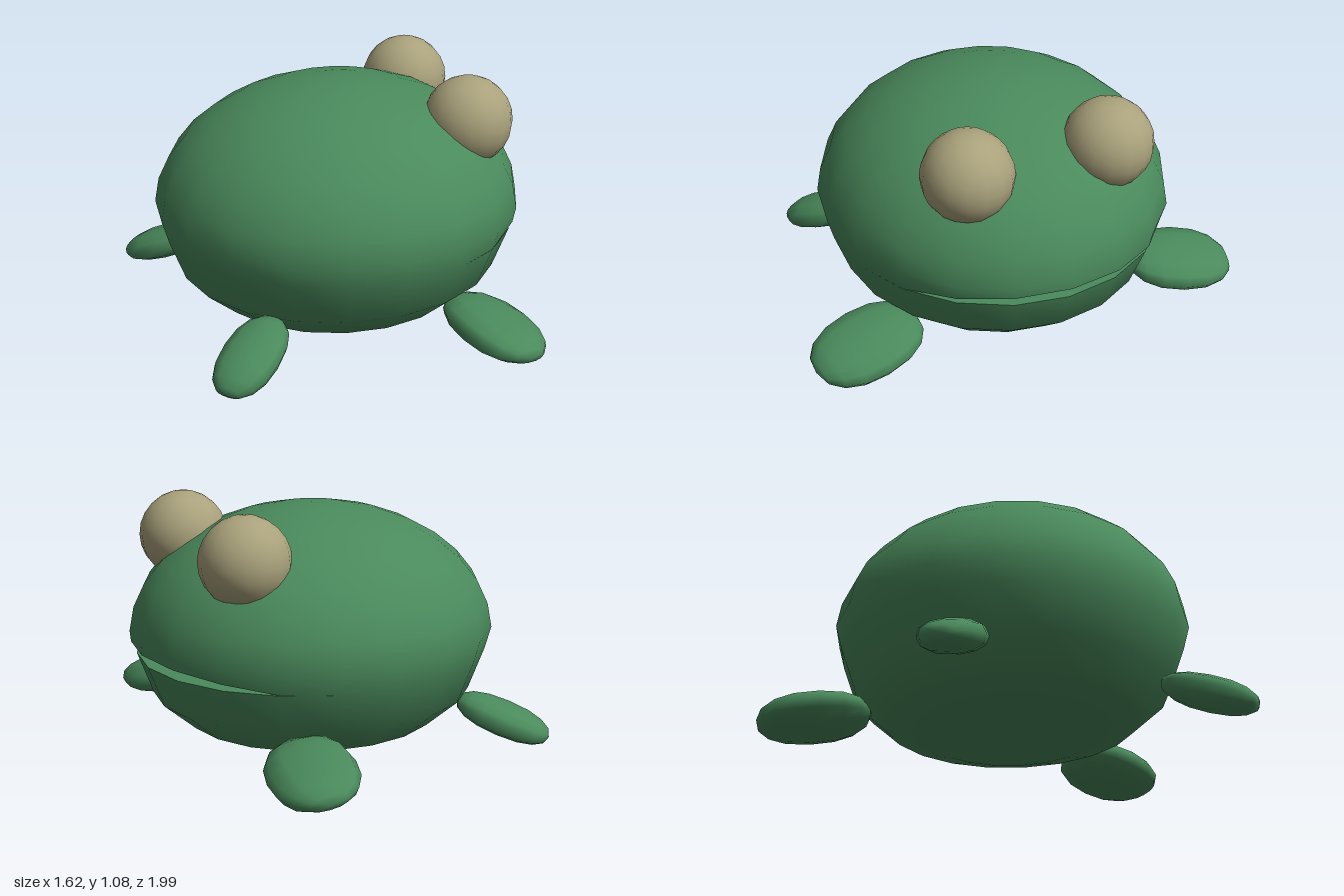
import * as THREE from 'three';
import { toCreasedNormals } from 'three/addons/utils/BufferGeometryUtils.js';

const SIDES = 20, RX = 0.81, RZ = 0.77, HINGE_X = 0.45, LIP_Y = 0.4;

// One elliptical cross-section of the body
function ring(r, y) {
  return Array.from({ length: SIDES }, (_, i) => {
    const a = (i / SIDES) * Math.PI * 2;
    return new THREE.Vector3(RX * r * Math.cos(a), y, RZ * r * Math.sin(a));
  });
}

// Skin a list of rings from bottom to top, leaving out collapsed triangles
function skin(rings) {
  const pos = [], ab = new THREE.Vector3(), ac = new THREE.Vector3();
  const tri = (a, b, c) => {
    ab.subVectors(b, a); ac.subVectors(c, a);
    if (ab.cross(ac).length() > 1e-7) pos.push(...a, ...b, ...c);
  };
  for (let j = 0; j + 1 < rings.length; j++) {
    for (let i = 0; i < SIDES; i++) {
      const k = (i + 1) % SIDES, p = rings[j], q = rings[j + 1];
      tri(p[i], q[i], q[k]);
      tri(p[i], q[k], p[k]);
    }
  }
  const g = new THREE.BufferGeometry();
  g.setAttribute('position', new THREE.Float32BufferAttribute(pos, 3));
  return toCreasedNormals(g, 0.9);
}

function bodyGeometry() {
  // Flattened belly up to the lower lip
  const rings = [[0, 0], [0.25, 0.02], [0.46, 0.033], [0.7, 0.09], [0.88, 0.215], [0.965, LIP_Y]]
    .map(([r, y]) => ring(r, y));

  // Mouth: fold in to a straight hinge line, then out again to the raised upper lip
  const hinge = ring(0.965, LIP_Y);
  const upperLip = ring(0.965, LIP_Y);
  for (let i = 0; i < SIDES; i++) {
    const open = Math.max(0, (upperLip[i].x - HINGE_X) / (RX - HINGE_X));
    hinge[i].x = Math.min(hinge[i].x, HINGE_X);
    upperLip[i].y += 0.062 * open;
    upperLip[i].x *= 1 + 0.036 * open;
    upperLip[i].z *= 1 + 0.036 * open;
  }
  rings.push(hinge, upperLip);

  // Domed back
  for (let d = 2; d <= 90; d += 11) {
    const a = THREE.MathUtils.degToRad(d);
    rings.push(ring(Math.cos(a), 0.48 + 0.56 * Math.sin(a)));
  }
  return skin(rings);
}

// Flat rounded paddle, slightly fuller than an ellipsoid
function footGeometry(w, h, l) {
  const g = new THREE.SphereGeometry(1, 12, 8);
  g.rotateX(Math.PI / 2);
  const p = g.attributes.position;
  const full = (v) => Math.sign(v) * Math.pow(Math.abs(v), 0.88);
  for (let i = 0; i < p.count; i++) {
    p.setXYZ(i, w * full(p.getX(i)), h * full(p.getY(i)), l * full(p.getZ(i)));
  }
  return toCreasedNormals(g, 1.1);
}

export function createModel() {
  const model = new THREE.Group();
  model.name = 'frog';
  const green = new THREE.MeshStandardMaterial({ color: 0x4a8a5c });
  const tan = new THREE.MeshStandardMaterial({ color: 0xaaa27c });
  const add = (name, geometry, material) => {
    const mesh = new THREE.Mesh(geometry, material);
    mesh.name = name;
    model.add(mesh);
    return mesh;
  };

  add('body', bodyGeometry(), green);

  const eye = new THREE.SphereGeometry(0.193, 16, 12);
  const frontFoot = footGeometry(0.185, 0.072, 0.25);
  const backFoot = footGeometry(0.13, 0.068, 0.215);

  // Eyes and feet, mirrored across the body's long axis
  for (const s of [1, -1]) {
    const side = s > 0 ? 'Right' : 'Left';
    add('eye' + side, eye, tan).position.set(0.473, 0.888, 0.315 * s);

    const front = add('frontFoot' + side, frontFoot, green);
    front.position.set(0.4, 0.118, 0.75 * s);
    front.rotation.set(0.15 * s, 0.2 * s, -0.18, 'YXZ');

    const back = add('backFoot' + side, backFoot, green);
    back.position.set(-0.63, 0.125, 0.595 * s);
    back.rotation.set(0.35 * s, -0.86 * s, 0, 'YXZ');
  }
  return model;
}
